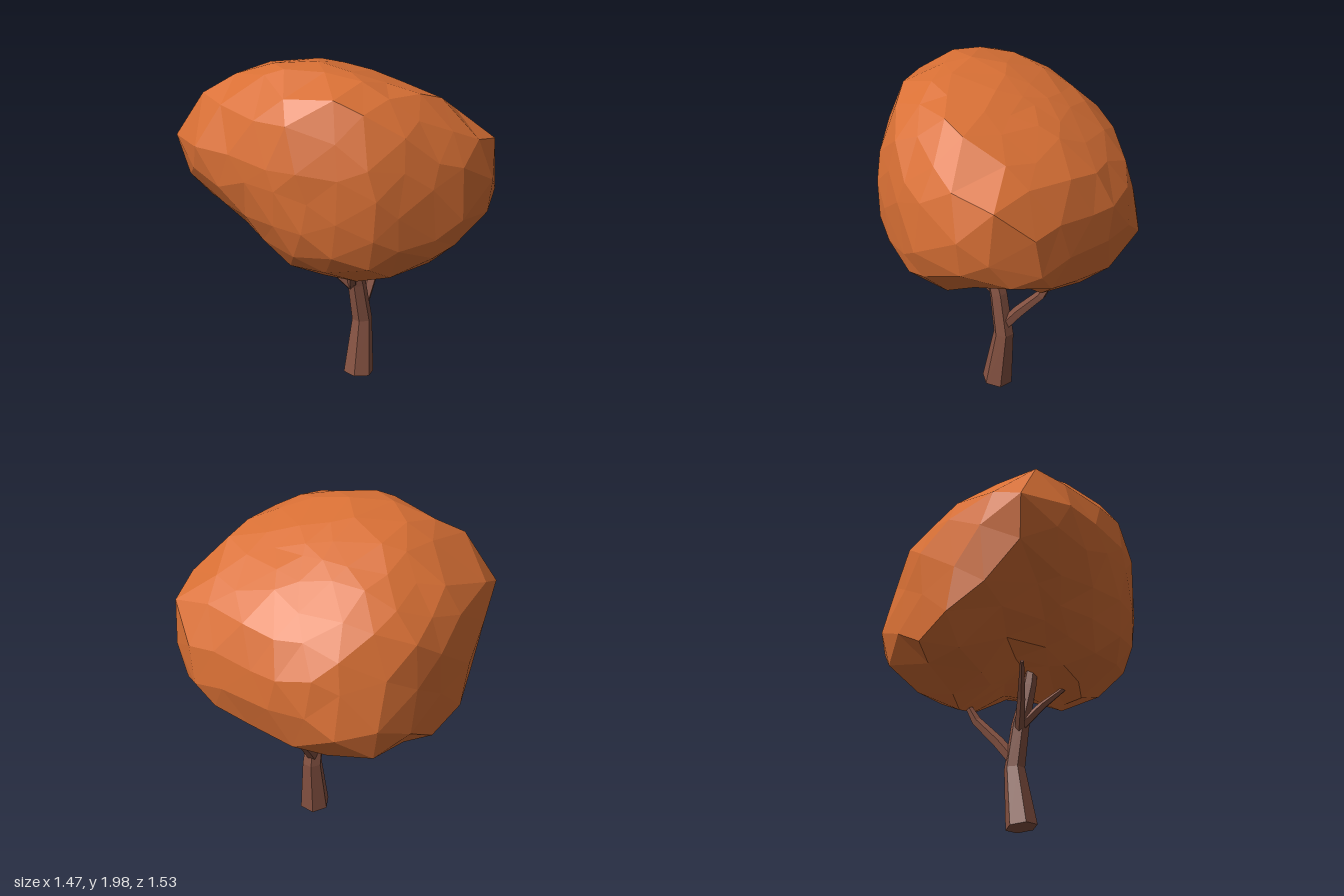
import * as THREE from 'three';
import { mergeVertices } from 'three/addons/utils/BufferGeometryUtils.js';

const bark = new THREE.MeshStandardMaterial({ color: 0x855242, flatShading: true });
const foliage = new THREE.MeshStandardMaterial({ color: 0xd97035, flatShading: true });

// Outlines of the crown around its middle (0, MID, 0), each lying in a plane
// turned by an azimuth and tipped by an elevation (degrees)
const MID = 1.37;
function plane(azimuth, elevation, outline) {
  const a = THREE.MathUtils.degToRad(azimuth), e = THREE.MathUtils.degToRad(elevation);
  return {
    right: new THREE.Vector3(Math.cos(a), 0, -Math.sin(a)),
    up: new THREE.Vector3(-Math.sin(a) * Math.sin(e), Math.cos(e), -Math.cos(a) * Math.sin(e)),
    outline,
  };
}
const front = plane(0, 0, [[-0.24, 0.63], [-0.45, 0.58], [-0.69, 0.28], [-0.73, 0.15], [-0.71, 0], [-0.58, -0.27],
  [-0.45, -0.47], [-0.36, -0.54], [0.35, -0.64], [0.57, -0.49], [0.73, -0.19], [0.69, 0.13], [0.44, 0.36], [0.12, 0.52]]);
const side = plane(90, 0, [[0.1, 0.63], [-0.3, 0.57], [-0.51, 0.43], [-0.63, 0.24], [-0.73, 0.03], [-0.76, -0.19],
  [-0.6, -0.44], [-0.33, -0.57], [0.2, -0.64], [0.72, -0.49], [0.755, -0.35], [0.755, 0.08], [0.71, 0.23],
  [0.56, 0.43], [0.37, 0.57]]);
const above = plane(0, 90, [[-0.51, 0.755], [-0.01, 0.755], [0.43, 0.66], [0.55, 0.59], [0.63, 0.48], [0.68, 0.28],
  [0.73, -0.35], [0.68, -0.55], [0.48, -0.69], [0.26, -0.75], [-0.3, -0.6], [-0.46, -0.52], [-0.61, -0.27],
  [-0.73, 0.37], [-0.7, 0.62], [-0.62, 0.7]]);
const frontDiagonal = plane(45, 20, [[-0.01, 0.69], [-0.31, 0.66], [-0.52, 0.52], [-0.67, 0.23], [-0.69, -0.09],
  [-0.67, -0.3], [-0.39, -0.61], [-0.23, -0.67], [0.41, -0.62], [0.67, -0.48], [0.78, -0.35], [0.8, -0.25],
  [0.69, 0.2], [0.28, 0.58]]);
const backDiagonal = plane(225, 20, [[0.26, 0.58], [-0.18, 0.53], [-0.4, 0.41], [-0.7, 0.08], [-0.81, -0.28],
  [-0.8, -0.35], [-0.73, -0.51], [-0.39, -0.73], [-0.13, -0.74], [0.4, -0.54], [0.62, -0.31], [0.65, -0.16],
  [0.67, 0.06], [0.54, 0.44], [0.41, 0.53]]);
const lowDiagonal = plane(135, -28, [[0.12, 0.57], [0.4, 0.56], [0.73, 0.41], [0.92, 0.23], [0.94, 0.11],
  [0.85, -0.09], [0.15, -0.67], [-0.13, -0.68], [-0.52, -0.58], [-0.73, -0.4], [-0.9, -0.05], [-0.81, 0.17],
  [-0.32, 0.46]]);
const crownPlanes = [front, side, above, frontDiagonal, backDiagonal, lowDiagonal];

// Inverse distance from the middle to an outline, seen along direction d
function inverseReach({ right, up, outline }, d) {
  const u = d.dot(right), v = d.dot(up);
  let best = 0;
  outline.forEach(([px, py], i) => {
    const [qx, qy] = outline[(i + 1) % outline.length];
    const ex = qx - px, ey = qy - py;
    best = Math.max(best, (u * ey - v * ex) / (px * ey - py * ex));
  });
  return best;
}

function seeded(seed) {
  return () => {
    seed = (seed * 16807) % 2147483647;
    return seed / 2147483647 - 0.5;
  };
}

// Faceted crown: a sphere shaped by the outlines, with a groove below
function makeCrown() {
  let geo = new THREE.IcosahedronGeometry(1, 3);
  geo.deleteAttribute('normal');
  geo.deleteAttribute('uv');
  geo = mergeVertices(geo, 1e-3);
  const rand = seeded(71);
  const pos = geo.attributes.position;
  const d = new THREE.Vector3();
  const P = 20;
  for (let i = 0; i < pos.count; i++) {
    d.fromBufferAttribute(pos, i);
    d.x += rand() * 0.13;
    d.y += rand() * 0.13;
    d.z += rand() * 0.13;
    d.normalize();
    const sum = crownPlanes.reduce((total, p) => total + inverseReach(p, d) ** P, 0);
    const down = Math.max(0, -d.y);
    d.multiplyScalar((1.045 + 0.05 * down) * sum ** (-1 / P) * (1 + rand() * 0.03));
    const across = (d.x - d.z) / Math.SQRT2;
    d.y += 0.2 * down * Math.exp(-((across / 0.2) ** 2));
    pos.setXYZ(i, d.x, d.y + MID, d.z);
  }
  geo.computeVertexNormals();
  const mesh = new THREE.Mesh(geo, foliage);
  mesh.name = 'crown';
  return mesh;
}

// Tapered limb along stations [x, y, z, radius]
function makeLimb(name, stations, sides) {
  const n = stations.length;
  const geo = new THREE.CylinderGeometry(1, 1, 1, sides, n - 1);
  const pts = stations.map((s) => new THREE.Vector3(s[0], s[1], s[2]));
  const up = new THREE.Vector3(0, 1, 0);
  const turns = pts.map((p, i) => {
    const along = pts[Math.min(i + 1, n - 1)].clone().sub(pts[Math.max(i - 1, 0)]).normalize();
    return new THREE.Quaternion().setFromUnitVectors(up, along);
  });
  const pos = geo.attributes.position;
  const v = new THREE.Vector3();
  for (let i = 0; i < pos.count; i++) {
    v.fromBufferAttribute(pos, i);
    const k = Math.round((v.y + 0.5) * (n - 1));
    v.y = 0;
    v.multiplyScalar(stations[k][3]).applyQuaternion(turns[k]).add(pts[k]);
    pos.setXYZ(i, v.x, v.y, v.z);
  }
  geo.computeVertexNormals();
  const mesh = new THREE.Mesh(geo, bark);
  mesh.name = name;
  return mesh;
}

export function createModel() {
  const tree = new THREE.Group();
  tree.name = 'tree';
  tree.add(
    makeCrown(),
    makeLimb('trunk', [[0.06, 0.014, 0.065, 0.092], [0.1, 0.36, 0.05, 0.061],
      [0.055, 0.61, 0.05, 0.054], [-0.01, 0.84, 0.06, 0.04], [-0.04, 1.0, 0.06, 0.03]], 6),
    makeLimb('leftBranch', [[0.1, 0.41, 0.04, 0.037], [0.19, 0.53, 0.01, 0.036],
      [0.32, 0.68, -0.04, 0.03], [0.39, 0.84, -0.09, 0.014]], 5),
    makeLimb('backBranch', [[0.04, 0.58, 0.03, 0.03], [-0.06, 0.71, -0.06, 0.024],
      [-0.2, 0.85, -0.2, 0.012]], 5),
    makeLimb('frontBranch', [[0.03, 0.6, 0.04, 0.03], [-0.05, 0.72, 0.12, 0.024],
      [-0.16, 0.86, 0.24, 0.012]], 5),
  );
  return tree;
}
